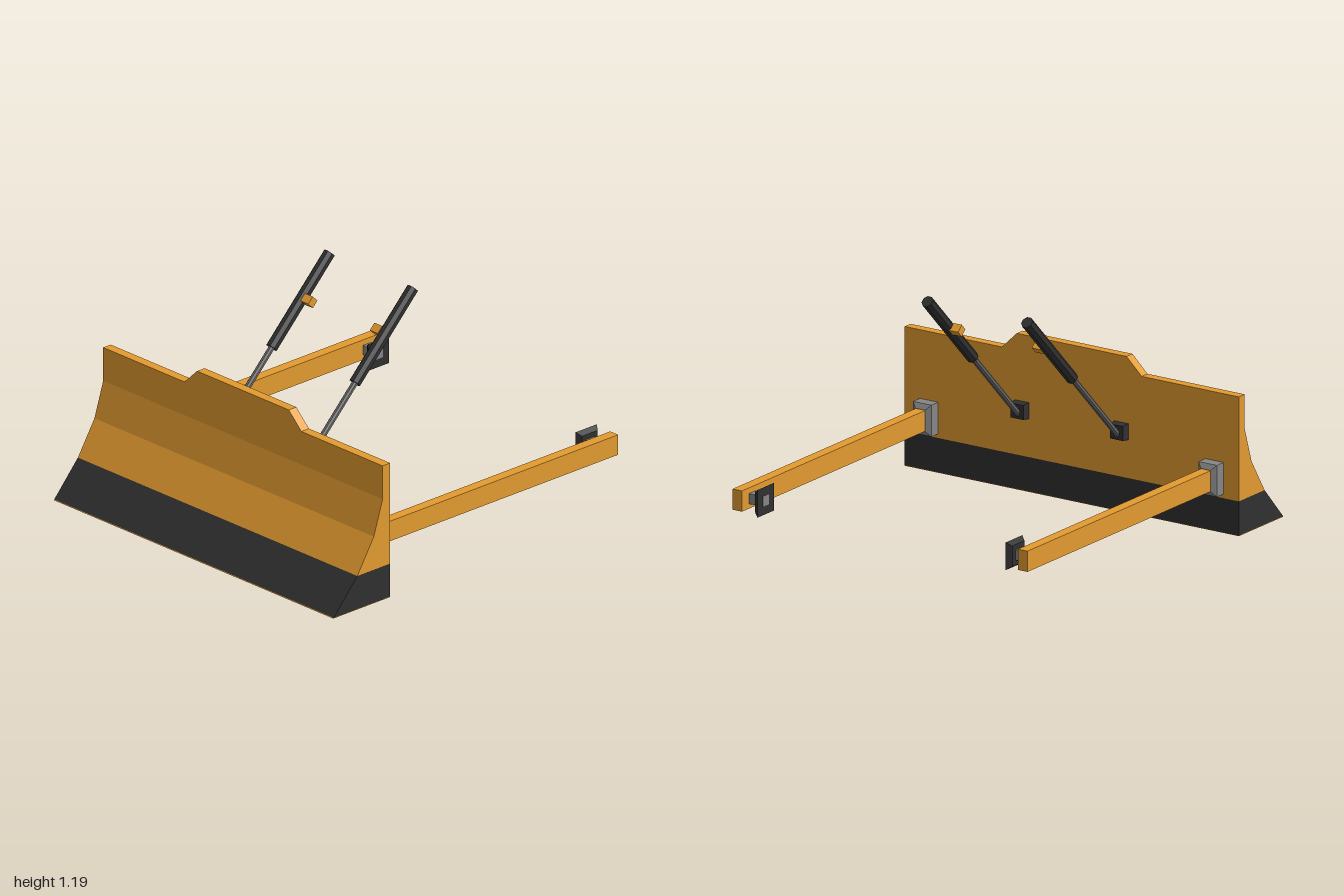
import * as THREE from 'three';

const mat = (name, color) => {
  const m = new THREE.MeshStandardMaterial({ color });
  m.name = name;
  return m;
};

export function createModel() {
  const orange = mat('orange paint', 0xe39b30);
  const dark = mat('dark steel', 0x303030);
  const grey = mat('grey steel', 0x868686);
  const rodGrey = mat('rod grey', 0x6a6a6a);

  const model = new THREE.Group();
  model.name = 'dozerBlade';

  const add = (parent, name, geometry, material, x = 0, y = 0, z = 0) => {
    const mesh = new THREE.Mesh(geometry, material);
    mesh.name = name;
    mesh.position.set(x, y, z);
    parent.add(mesh);
    return mesh;
  };

  const polygon = (points) => new THREE.Shape(points.map((p) => new THREE.Vector2(...p)));

  // Extrudes a [z, y] side profile across the full blade width
  const WIDTH = 1.96;
  const sideProfile = (points) => {
    const g = new THREE.ExtrudeGeometry(polygon(points), { depth: WIDTH, bevelEnabled: false });
    g.translate(0, 0, -WIDTH / 2);
    return g.rotateY(-Math.PI / 2);
  };

  // Box whose -z face is inset on all sides
  const taperedBox = (w, h, d, inset) => {
    const g = new THREE.BoxGeometry(w, h, d);
    const p = g.attributes.position;
    for (let i = 0; i < p.count; i++) {
      if (p.getZ(i) > 0) continue;
      p.setX(i, p.getX(i) - Math.sign(p.getX(i)) * inset);
      p.setY(i, p.getY(i) - Math.sign(p.getY(i)) * inset);
    }
    g.computeVertexNormals();
    return g;
  };

  // Faceted eight-sided bar with flat sides facing x
  const octagonBar = (radius, length) => {
    const g = new THREE.CylinderGeometry(radius, radius, length, 8).rotateY(Math.PI / 8).toNonIndexed();
    g.computeVertexNormals();
    return g;
  };

  // Blade: curved mouldboard, raised centre, cutting edge and underside
  const blade = new THREE.Group();
  blade.name = 'blade';
  model.add(blade);
  add(blade, 'mouldboard', sideProfile([
    [0.622, 0.176], [0.84, 0.176], [0.73, 0.35], [0.672, 0.53], [0.672, 0.705], [0.622, 0.705],
  ]), orange);
  add(blade, 'cuttingEdge', sideProfile([
    [0.622, 0.003], [0.997, 0.003], [0.84, 0.176], [0.622, 0.176],
  ]), dark);
  add(blade, 'underside', sideProfile([
    [0.622, 0], [1, 0], [0.997, 0.003], [0.622, 0.003],
  ]), orange);
  add(blade, 'raisedCentre', new THREE.ExtrudeGeometry(
    polygon([[-0.41, 0.705], [0.41, 0.705], [0.322, 0.79], [-0.322, 0.79]]),
    { depth: 0.05, bevelEnabled: false },
  ), orange, 0, 0, 0.622);

  for (const side of [1, -1]) {
    const label = side > 0 ? 'left' : 'right';

    // Push arm with its blade bracket and rear pivot
    const arm = new THREE.Group();
    arm.name = `${label}PushArm`;
    model.add(arm);
    const ax = side * 0.837;
    add(arm, 'armBeam', new THREE.BoxGeometry(0.056, 0.105, 1.565), orange, ax, 0.277, -0.2175);
    add(arm, 'bracketBase', new THREE.BoxGeometry(0.108, 0.16, 0.057), grey, ax, 0.277, 0.5935);
    add(arm, 'bracketTaper', taperedBox(0.108, 0.16, 0.015, 0.024), grey, ax, 0.277, 0.5575);
    add(arm, 'pivotPin', new THREE.BoxGeometry(0.086, 0.052, 0.052), grey, side * 0.769, 0.275, -0.917);
    const plate = add(arm, 'pivotPlate', taperedBox(0.14, 0.14, 0.026, 0.018), dark, side * 0.741, 0.275, -0.917);
    plate.rotation.y = -side * Math.PI / 2;

    // Hydraulic ram leaning back at 45 degrees
    const rx = side * 0.292;
    add(model, `${label}RamMount`, taperedBox(0.082, 0.082, 0.042, 0.004), dark, rx, 0.411, 0.601);
    const ram = new THREE.Group();
    ram.name = `${label}Ram`;
    ram.position.set(rx, 0.403, 0.585);
    ram.rotation.x = -Math.PI / 4;
    model.add(ram);
    add(ram, 'rod', octagonBar(0.016, 0.56), rodGrey, 0, 0.27, 0);
    add(ram, 'barrel', octagonBar(0.0305, 0.543), dark, 0, 0.808, 0);
    add(ram, 'trunnion', new THREE.BoxGeometry(0.055, 0.043, 0.043), orange, -side * 0.0485, 0.822, 0);
  }

  return model;
}
